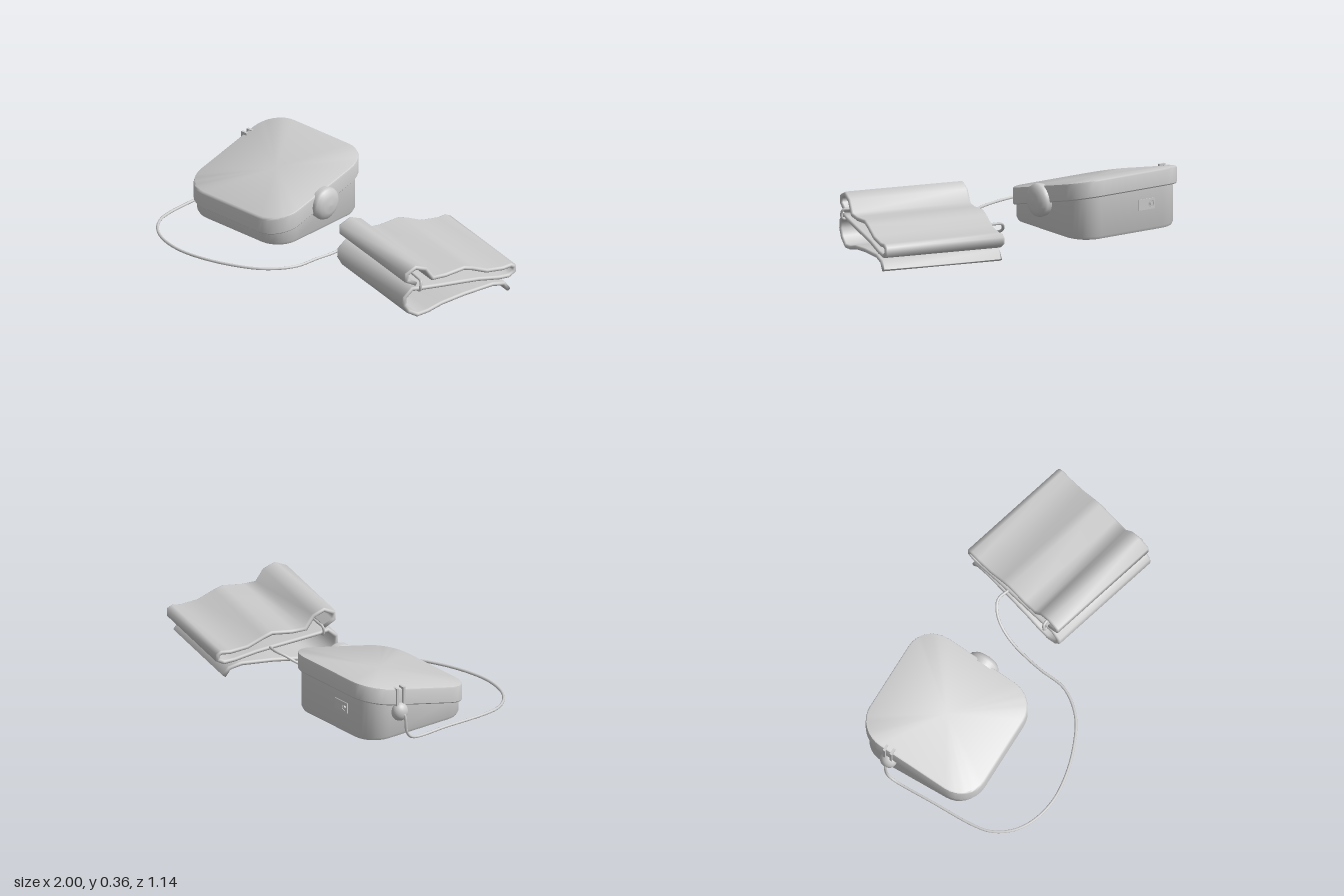
import * as THREE from 'three';
import { toCreasedNormals } from 'three/addons/utils/BufferGeometryUtils.js';

const mat = new THREE.MeshStandardMaterial({ color: 0xcccccc });
const V = (x, y, z) => new THREE.Vector3(x, y, z);

function add(parent, name, geometry, x = 0, y = 0, z = 0) {
  const mesh = new THREE.Mesh(geometry, mat);
  mesh.name = name;
  mesh.position.set(x, y, z);
  parent.add(mesh);
  return mesh;
}

// Closed skin over a row of equal-length rings, capped at both ends
function skin(rings) {
  const n = rings[0].length, pos = [], idx = [];
  rings.forEach(r => r.forEach(p => pos.push(p.x, p.y, p.z)));
  for (let i = 0; i < rings.length - 1; i++) {
    for (let k = 0; k < n; k++) {
      const a = i * n + k, b = i * n + (k + 1) % n;
      idx.push(a, a + n, b, b, a + n, b + n);
    }
  }
  [0, rings.length - 1].forEach(i => {
    const c = rings[i].reduce((s, p) => s.add(p), V(0, 0, 0)).divideScalar(n);
    const m = pos.length / 3;
    pos.push(c.x, c.y, c.z);
    for (let k = 0; k < n; k++) {
      const a = i * n + k, b = i * n + (k + 1) % n;
      if (i === 0) idx.push(m, a, b); else idx.push(m, b, a);
    }
  });
  const g = new THREE.BufferGeometry();
  g.setAttribute('position', new THREE.Float32BufferAttribute(pos, 3));
  g.setIndex(idx);
  return g;
}

// Rounded square ring whose height climbs towards the back
function squareRing([half, y, slope]) {
  const r = 0.16 - (0.367 - half), pts = [];
  for (let q = 0; q < 4; q++) {
    const mid = Math.PI / 4 + q * Math.PI / 2;
    const cx = Math.sign(Math.cos(mid)) * (half - r), cz = Math.sign(Math.sin(mid)) * (half - r);
    for (let k = 0; k <= 8; k++) {
      const a = q * Math.PI / 2 + k * Math.PI / 16;
      const z = cz + r * Math.sin(a);
      pts.push(V(cx + r * Math.cos(a), y - slope * z, z));
    }
  }
  return pts;
}
const loft = rows => toCreasedNormals(skin(rows.map(squareRing)), 0.6);

function tube(points, radius, segments, closed = false) {
  const curve = new THREE.CatmullRomCurve3(points, closed, 'centripetal');
  return new THREE.TubeGeometry(curve, segments, radius, 8, closed);
}

function createMonitor() {
  const g = new THREE.Group();
  g.name = 'monitor';
  g.position.set(-0.583, 0, -0.147);
  const s = 0.24;
  add(g, 'body', loft([[0.322, 0.018, 0], [0.338, 0.023, 0], [0.347, 0.04, 0], [0.347, 0.185, s]]));
  add(g, 'slopedLid', loft([[0.345, 0.178, s], [0.362, 0.178, s], [0.367, 0.184, s],
    [0.367, 0.266, s], [0.364, 0.274, s], [0.357, 0.278, s]]));
  for (const x of [-0.24, 0.24]) for (const z of [-0.24, 0.24])
    add(g, 'foot', new THREE.CylinderGeometry(0.024, 0.022, 0.012, 20), x, 0.014, z);

  // Domed button on the side
  const dome = [[0.09, 0], [0.094, 0.03], [0.088, 0.045], [0.07, 0.06], [0.045, 0.068], [0, 0.072]];
  const button = add(g, 'sideButton', new THREE.LatheGeometry(dome.map(p => new THREE.Vector2(...p)), 32),
    0.348, 0.195, 0.007);
  button.rotation.z = -Math.PI / 2;

  // Hose plug with two ribs above it
  add(g, 'hosePlug', new THREE.SphereGeometry(1, 24, 16), -0.365, 0.178, -0.153).scale.set(0.042, 0.053, 0.048);
  for (const dz of [-0.022, 0.022])
    add(g, 'plugRib', new THREE.BoxGeometry(0.04, 0.12, 0.014), -0.358, 0.262, -0.153 + dz);

  // Power socket on the back: raised frame with a pin
  const frame = new THREE.Shape([[-0.055, -0.03], [0.055, -0.03], [0.055, 0.03], [-0.055, 0.03]]
    .map(p => new THREE.Vector2(...p)));
  frame.holes.push(new THREE.Path().absarc(0.03, 0, 0.02, 0, Math.PI * 2, true));
  const socket = add(g, 'powerSocket', new THREE.ExtrudeGeometry(frame, { depth: 0.006, bevelEnabled: false }),
    -0.097, 0.175, -0.345);
  socket.rotation.y = Math.PI;
  const pin = add(g, 'socketPin', new THREE.CylinderGeometry(0.009, 0.009, 0.02, 12), -0.127, 0.175, -0.347);
  pin.rotation.x = Math.PI / 2;
  return g;
}

function createCuff() {
  const g = new THREE.Group();
  g.name = 'cuff';
  g.position.set(0.898, 0, 0);
  g.rotation.y = -0.267;
  // Folded centre line, as depth and height
  const path = [[-.335, .012], [-.305, .055], [-.235, .07], [-.06, .06], [.08, .043], [.165, .02],
    [.23, .014], [.285, .05], [.31, .095], [.308, .14], [.262, .18], [.22, .172], [.08, .154],
    [-.04, .14], [-.15, .126], [-.275, .1], [-.335, .095], [-.37, .115], [-.37, .143],
    [-.35, .155], [-.3, .15], [-.2, .163], [-.11, .203], [-.06, .22], [.055, .208],
    [.135, .212], [.18, .28], [.24, .305], [.295, .28], [.295, .24], [.24, .207]]
    .map(([z, y]) => new THREE.Vector2(z / 0.964, y));
  // Flat strip section with rounded edges
  const width = 0.70, h = 0.012, section = [];
  for (let k = 0; k <= 6; k++) {
    const a = Math.PI / 2 - k * Math.PI / 6;
    section.push([-h + h * Math.cos(a), h * Math.sin(a)]);
  }
  for (let k = 0; k <= 6; k++) {
    const a = -Math.PI / 2 - k * Math.PI / 6;
    section.push([-width + h + h * Math.cos(a), h * Math.sin(a)]);
  }
  const rings = path.map((p, i) => {
    const d0 = p.clone().sub(path[Math.max(i - 1, 0)]).normalize();
    const d1 = path[Math.min(i + 1, path.length - 1)].clone().sub(p).normalize();
    const t = d0.clone().add(d1).normalize();
    const miter = 1 / Math.max(0.75, t.dot(i ? d0 : d1));
    return section.map(([u, o]) => V(u, p.y + o * t.x * miter, p.x - o * t.y * miter));
  });
  const strip = skin(rings);
  strip.computeVertexNormals();
  add(g, 'foldedStrip', strip);

  // Wire loop that holds the fold, showing at both ends
  add(g, 'wireLoop', tube([V(0, .168, .235), V(.016, .175, .235), V(.02, .2, .235), V(.012, .222, .228), V(-.02, .225, .222),
    V(-.68, .225, .222), V(-.712, .222, .228), V(-.72, .2, .235), V(-.716, .175, .235), V(-.7, .168, .235)],
    0.008, 160, true));
  return g;
}

export function createModel() {
  const model = new THREE.Group();
  model.name = 'pressureMonitorWithCuff';
  model.add(createMonitor(), createCuff());
  // Air hose lying on the ground between the plug and the cuff
  const route = [[-.975, .18, -.3], [-.988, .165, -.295], [-.988, .06, -.28], [-.986, .022, -.24],
    [-.986, .02, 0], [-.985, .02, .27], [-.965, .02, .37], [-.9, .02, .465], [-.8, .02, .53],
    [-.65, .02, .565], [-.5, .02, .555], [-.32, .02, .505], [-.15, .02, .415], [-.045, .02, .28],
    [-.02, .02, .12], [0, .022, .02], [.03, .045, -.1], [.075, .09, -.2], [.12, .13, -.25],
    [.175, .145, -.275], [.26, .138, -.25]];
  add(model, 'airHose', tube(route.map(p => V(...p)), 0.008, 120));
  return model;
}
